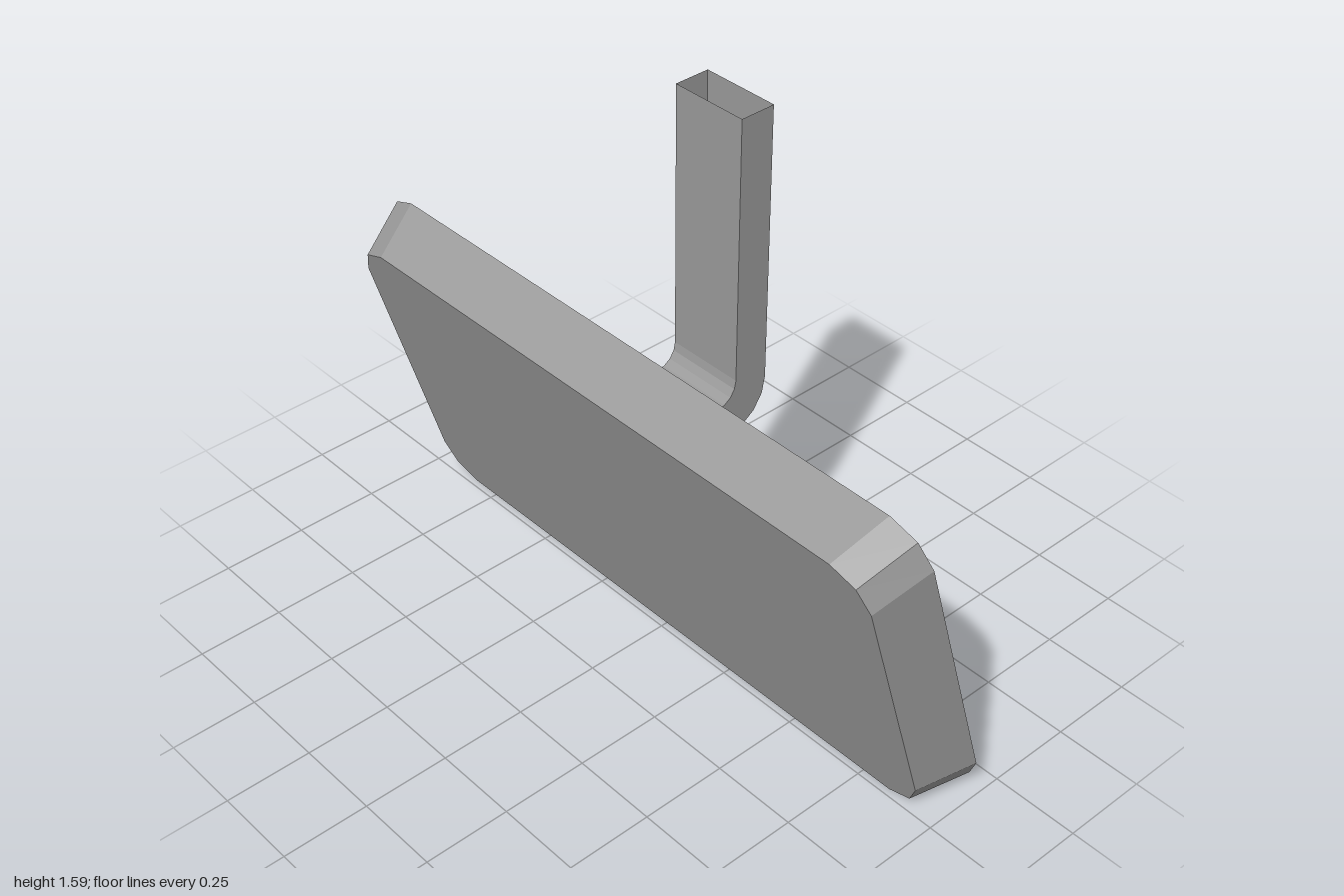
import * as THREE from 'three';

const grey = new THREE.MeshStandardMaterial({ color: 0x999999 });
const greyShell = new THREE.MeshStandardMaterial({ color: 0x999999, side: THREE.DoubleSide });
grey.name = 'grey';
greyShell.name = 'grey open shell';

// Joins rings of points with flat quads; optionally caps both ends
function loft(rings, caps) {
  const out = [];
  const tri = (...pts) => pts.forEach((p) => out.push(...p));
  for (let k = 0; k < rings.length - 1; k++) {
    const a = rings[k], b = rings[k + 1], n = a.length;
    for (let i = 0; i < n; i++) {
      const j = (i + 1) % n;
      tri(a[i], a[j], b[j]);
      tri(a[i], b[j], b[i]);
    }
  }
  if (caps) {
    const a = rings[0], b = rings[rings.length - 1];
    for (let i = 1; i < a.length - 1; i++) {
      tri(a[0], a[i + 1], a[i]);
      tri(b[0], b[i], b[i + 1]);
    }
  }
  const g = new THREE.BufferGeometry();
  g.setAttribute('position', new THREE.Float32BufferAttribute(out, 3));
  g.computeVertexNormals();
  return g;
}

// Rounded outline of one face, laid between its bottom and top edge [y, z]
function faceRing(halfWidth, bottom, top) {
  const corner = [[1, 0.89], [0.965, 0.965], [0.885, 1]];
  const flip = (pts, sx, sy) => pts.map(([x, t]) => [x * sx, sy < 0 ? 1 - t : t]);
  const outline = [
    ...corner,
    ...flip([...corner].reverse(), -1, 1),
    ...flip(corner, -1, -1),
    ...flip([...corner].reverse(), 1, -1),
  ];
  return outline.map(([x, t]) => [
    x * halfWidth,
    THREE.MathUtils.lerp(bottom[0], top[0], t),
    THREE.MathUtils.lerp(bottom[1], top[1], t),
  ]);
}

export function createModel() {
  const model = new THREE.Group();
  model.name = 'mirror';

  // Tilted slab: wide back face tapering to a smaller front face
  const back = faceRing(1, [0.012, -0.19], [1, 0.11]);
  const front = faceRing(0.95, [0, -0.02], [0.91, 0.252]);
  const slab = new THREE.Mesh(loft([back, front], true), grey);
  slab.name = 'mirrorHousing';
  model.add(slab);

  // Hollow bent arm: pairs of outer and inner points [y, z]
  const sections = [[[0.66, 0.007], [0.76, 0.036]]];
  const steps = 4;
  for (let i = 0; i <= steps; i++) {
    const a = (i / steps) * Math.PI / 2;
    const bend = (y, z, r) => [y - r * Math.cos(a), z - r * Math.sin(a)];
    sections.push([bend(0.79, -0.125, 0.13), bend(0.825, -0.088, 0.063)]);
  }
  sections.push([[1.587, -0.255], [1.587, -0.151]]);
  const w = 0.115;
  const rings = sections.map(([o, i]) => [[w, ...o], [-w, ...o], [-w, ...i], [w, ...i]]);
  const arm = new THREE.Mesh(loft(rings, false), greyShell);
  arm.name = 'mountingArm';
  model.add(arm);

  return model;
}
